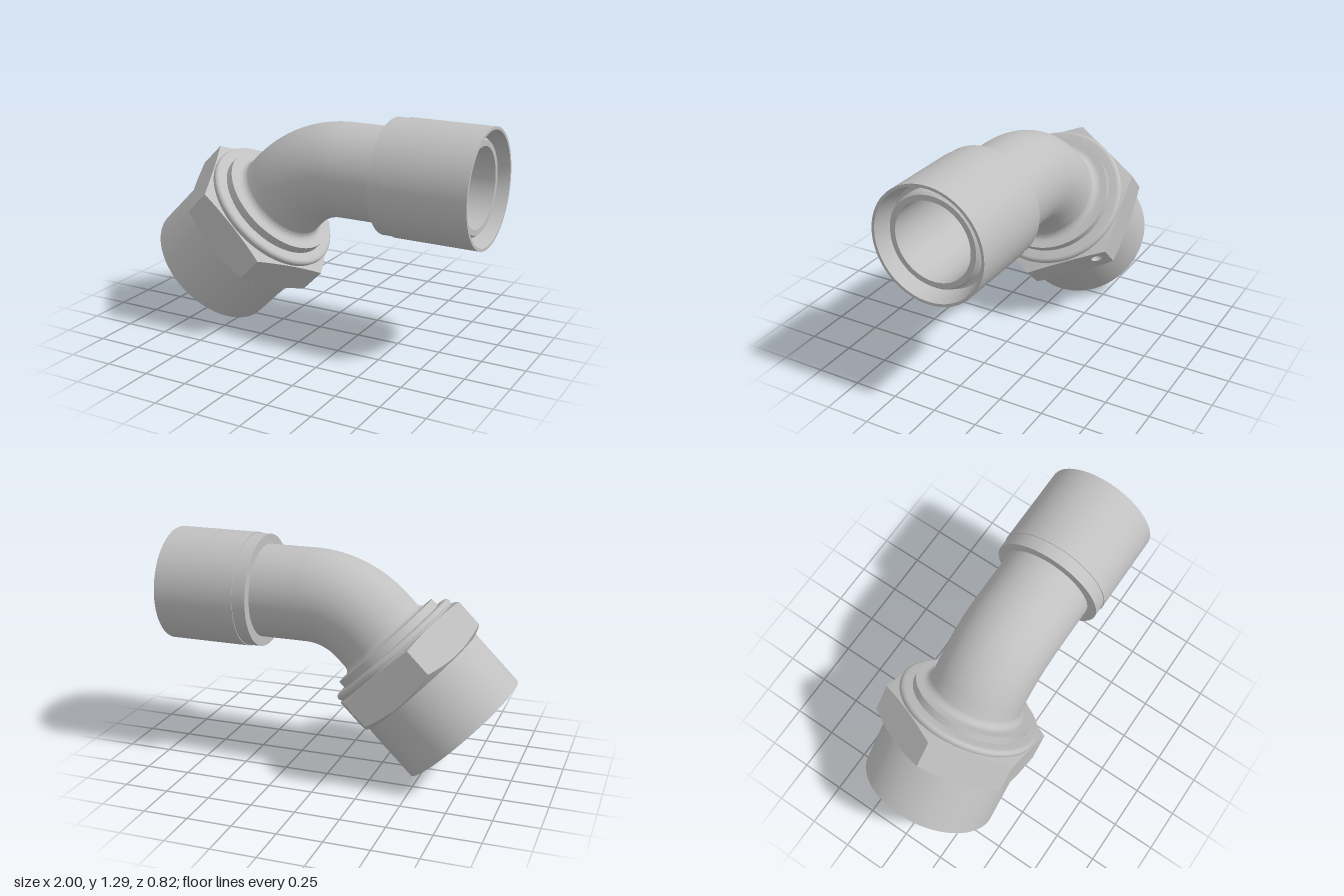
import * as THREE from 'three';
import { toCreasedNormals } from 'three/addons/utils/BufferGeometryUtils.js';

const steel = new THREE.MeshStandardMaterial({ color: 0xc0c0c0, side: THREE.DoubleSide });
steel.name = 'steel';

const AXIS_Y = 0.97;      // height of the straight tube axis
const BEND_X = 0.18;      // where the bend starts
const BEND_R = 0.513;
const TUBE_R = 0.265, BORE_R = 0.22;
const APOTHEM = 0.412;    // hexagon centre to flat
const CORNER = APOTHEM / Math.cos(Math.PI / 6);

function add(parent, name, geometry) {
  const mesh = new THREE.Mesh(geometry, steel);
  mesh.name = name;
  parent.add(mesh);
  return mesh;
}

// Turned part from [radius, height] pairs
function turned(points, segments = 96) {
  const profile = points.map(([r, y]) => new THREE.Vector2(r, y));
  return toCreasedNormals(new THREE.LatheGeometry(profile, segments), 0.55);
}

// Distance from the axis to the hexagon at an angle measured from +z
function hexRadius(angle) {
  const step = Math.PI / 3;
  const a = angle - Math.round(angle / step) * step;
  return APOTHEM / Math.cos(a);
}

// Conical chamfers that cut the hexagon below and above
const lowerChamfer = r => 0.35 + (r - 0.395) * 0.5;
const upperChamfer = r => 0.565 - (r - 0.405) * 0.2;

// Cone face from a circle out to the hexagon outline
function chamferFace(innerR, heightAt, flip) {
  const pair = [[innerR, heightAt(innerR)], [CORNER, heightAt(CORNER)]];
  const geo = new THREE.LatheGeometry((flip ? pair.reverse() : pair).map(p => new THREE.Vector2(...p)), 96);
  const pos = geo.attributes.position;
  for (let i = 0; i < pos.count; i++) {
    const x = pos.getX(i), z = pos.getZ(i);
    if (Math.hypot(x, z) < innerR + 0.01) continue;
    const a = Math.atan2(x, z), r = hexRadius(a);
    pos.setXYZ(i, r * Math.sin(a), heightAt(r), r * Math.cos(a));
  }
  return toCreasedNormals(geo, 0.55);
}

// One flat of the hexagon, bounded by the chamfer curves
function hexFlat(hole) {
  const half = CORNER / 2, n = 16, shape = new THREE.Shape();
  for (let i = 0; i <= n; i++) {
    const u = -half + (2 * half * i) / n, y = lowerChamfer(Math.hypot(APOTHEM, u));
    if (i === 0) shape.moveTo(u, y); else shape.lineTo(u, y);
  }
  for (let i = n; i >= 0; i--) {
    const u = -half + (2 * half * i) / n;
    shape.lineTo(u, upperChamfer(Math.hypot(APOTHEM, u)));
  }
  if (hole) shape.holes.push(new THREE.Path().absarc(hole.u, hole.y, hole.r, 0, Math.PI * 2, true));
  return new THREE.ShapeGeometry(shape, 16).translate(0, 0, APOTHEM);
}

function buildNut() {
  const nut = new THREE.Group();
  nut.name = 'unionNut';

  // Round skirt with its open socket and conical seat
  add(nut, 'nutSkirt', turned([
    [BORE_R, 0.42], [0.28, 0.36], [0.35, 0.3], [0.35, 0.06], [0.38, 0],
    [0.3965, 0], [0.3965, 0.36],
  ]));

  // Hexagon: chamfers and six flats, one with a small drilled hole
  add(nut, 'lowerChamfer', chamferFace(0.395, lowerChamfer, false));
  add(nut, 'upperChamfer', chamferFace(0.35, upperChamfer, true));
  const hole = { u: 0.167, y: 0.485, r: 0.033 };
  for (let k = 0; k < 6; k++) {
    const drilled = k === 2;
    const flat = add(nut, 'hexFlat', hexFlat(drilled ? hole : null));
    flat.rotation.y = k * Math.PI / 3;
    if (!drilled) continue;
    const depth = 0.07;
    const wall = new THREE.CylinderGeometry(hole.r, hole.r, depth, 32, 1, true);
    add(flat, 'holeWall', wall.rotateX(Math.PI / 2).translate(hole.u, hole.y, APOTHEM - depth / 2));
    add(flat, 'holeBottom', new THREE.CircleGeometry(hole.r, 32).translate(hole.u, hole.y, APOTHEM - depth));
  }

  // Rounded collar above the hexagon
  const collar = [[0.405, 0.555]];
  for (let i = 0; i <= 8; i++) {
    const a = -Math.PI / 4 + (i / 8) * Math.PI * 0.75;
    collar.push([0.39 + 0.022 * Math.cos(a), 0.586 + 0.022 * Math.sin(a)]);
  }
  collar.push([0.33, 0.608]);
  add(nut, 'collar', turned(collar));

  // Retaining ring and the fillet into the tube
  const ring = [[0.345, 0.6], [0.345, 0.655], [0.315, 0.655]];
  for (let i = 0; i <= 8; i++) {
    const a = (i / 8) * Math.PI / 2;
    ring.push([0.305 - 0.04 * Math.sin(a), 0.695 - 0.04 * Math.cos(a)]);
  }
  ring.push([TUBE_R, 0.76]);
  add(nut, 'retainingRing', turned(ring));
  add(nut, 'nutBore', turned([[BORE_R, 0.761], [BORE_R, 0.42]]));

  nut.rotation.z = -Math.PI / 4;
  nut.position.set(-0.72, 0.2825, 0);
  return nut;
}

function buildTube() {
  const tube = new THREE.Group();
  tube.name = 'bentTube';

  // 45 degree bend, outside and bore
  for (const [name, r] of [['bendOuter', TUBE_R], ['bendBore', BORE_R]]) {
    const bend = add(tube, name, new THREE.TorusGeometry(BEND_R, r, 96, 40, Math.PI / 4));
    bend.rotation.z = Math.PI / 2;
    bend.position.set(BEND_X, AXIS_Y - BEND_R, 0);
  }

  // Straight tube with its recessed end lip
  const straight = add(tube, 'straightTube', turned([
    [TUBE_R, BEND_X], [TUBE_R, 0.5], [0.262, 0.6], [0.262, 0.935],
    [0.25, 0.95], [BORE_R, 0.95], [BORE_R, BEND_X],
  ]));

  // End sleeve around the tube
  const sleeve = add(tube, 'endSleeve', turned([
    [TUBE_R, 0.45], [0.321, 0.45], [0.321, 0.525], [0.326, 0.525], [0.326, 1],
    [0.31, 1], [0.285, 0.9], [0.285, 0.88], [0.262, 0.88],
  ]));
  for (const part of [straight, sleeve]) {
    part.rotation.z = -Math.PI / 2;
    part.position.y = AXIS_Y;
  }
  return tube;
}

export function createModel() {
  const model = new THREE.Group();
  model.name = 'elbowFitting';
  model.add(buildNut(), buildTube());
  return model;
}
